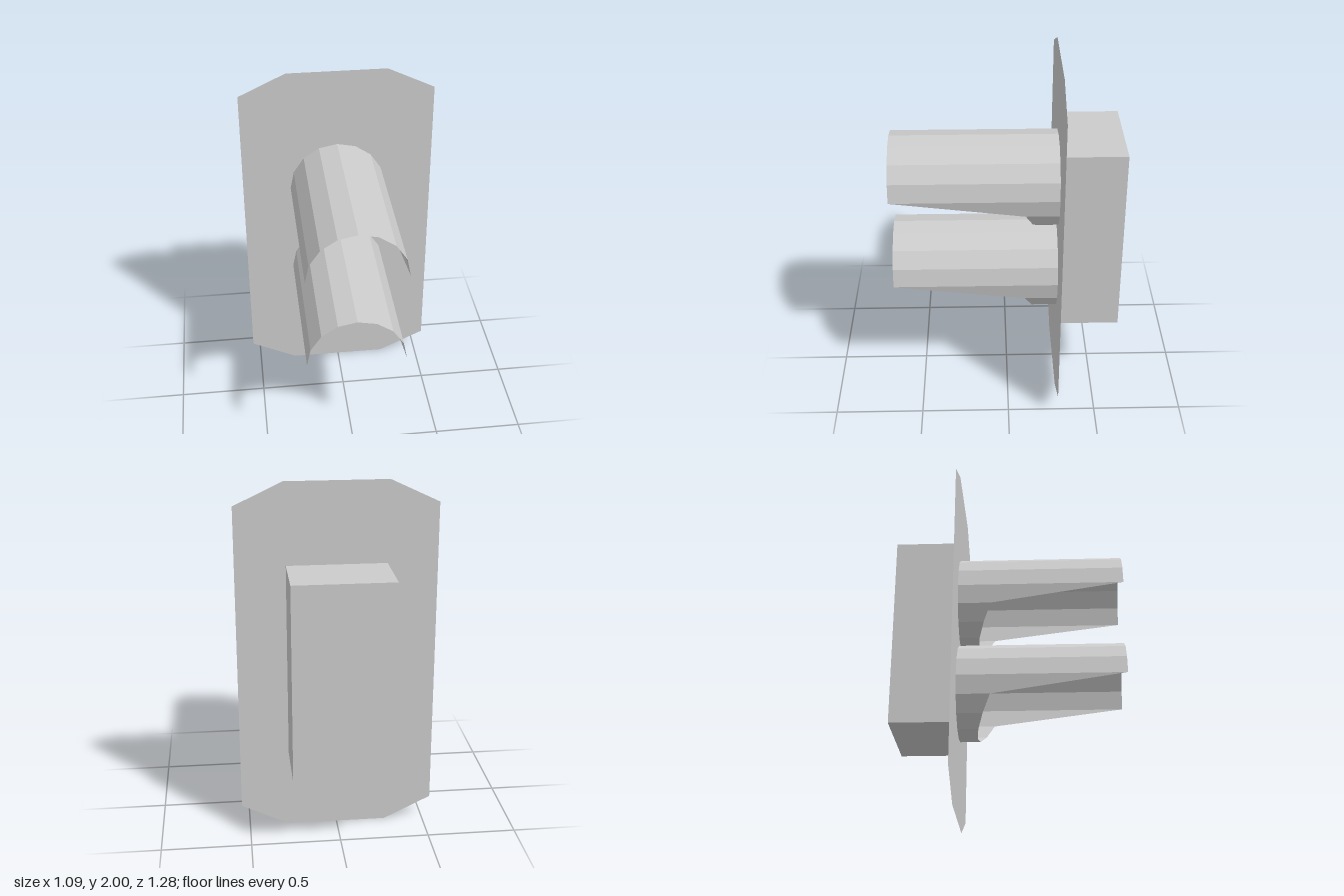
import * as THREE from 'three';

const FACE_Z = -0.285; // plane of the backing plate
const RADIUS = 0.272;

const solid = new THREE.MeshStandardMaterial({ color: 0xcccccc, flatShading: true });
const thin = new THREE.MeshStandardMaterial({ color: 0xcccccc, flatShading: true, side: THREE.DoubleSide });

function addPart(group, name, geometry, material) {
  const mesh = new THREE.Mesh(geometry, material);
  mesh.name = name;
  group.add(mesh);
  return mesh;
}

// How far forward the hood reaches at height y above its axis
function hoodReach(y) {
  const knee = -RADIUS * Math.sin(Math.PI / 8);
  if (y > knee / 2) return 0.645;
  return THREE.MathUtils.mapLinear(y, knee, -RADIUS, -0.1, -0.18);
}

// Sixteen-sided open tube whose front edge is cut away underneath
function visorGeometry() {
  const geometry = new THREE.CylinderGeometry(RADIUS, RADIUS, 1, 16, 1, true);
  geometry.rotateX(Math.PI / 2);
  const p = geometry.attributes.position;
  for (let i = 0; i < p.count; i++) {
    p.setZ(i, p.getZ(i) > 0 ? hoodReach(p.getY(i)) : FACE_Z);
  }
  geometry.computeVertexNormals();
  return geometry;
}

export function createModel() {
  const group = new THREE.Group();
  group.name = 'signalLight';

  // Thin plate with clipped corners
  const outline = [
    [-0.28, 0], [0.28, 0], [0.545, 0.13], [0.545, 1.875],
    [0.28, 2], [-0.28, 2], [-0.545, 1.875], [-0.545, 0.13],
  ].map(([x, y]) => new THREE.Vector2(x, y));
  const plate = addPart(group, 'backingPlate', new THREE.ShapeGeometry(new THREE.Shape(outline)), thin);
  plate.position.z = FACE_Z;

  // Housing behind the plate
  const depth = 0.353;
  const housing = addPart(group, 'housing', new THREE.BoxGeometry(0.544, 1.095, depth), solid);
  housing.position.set(0, 1.0025, -0.64 + depth / 2);

  // Two hoods, one above the other
  const hood = visorGeometry();
  for (const [name, y] of [['upperVisor', 1.278], ['lowerVisor', 0.727]]) {
    addPart(group, name, hood, thin).position.y = y;
  }
  return group;
}
